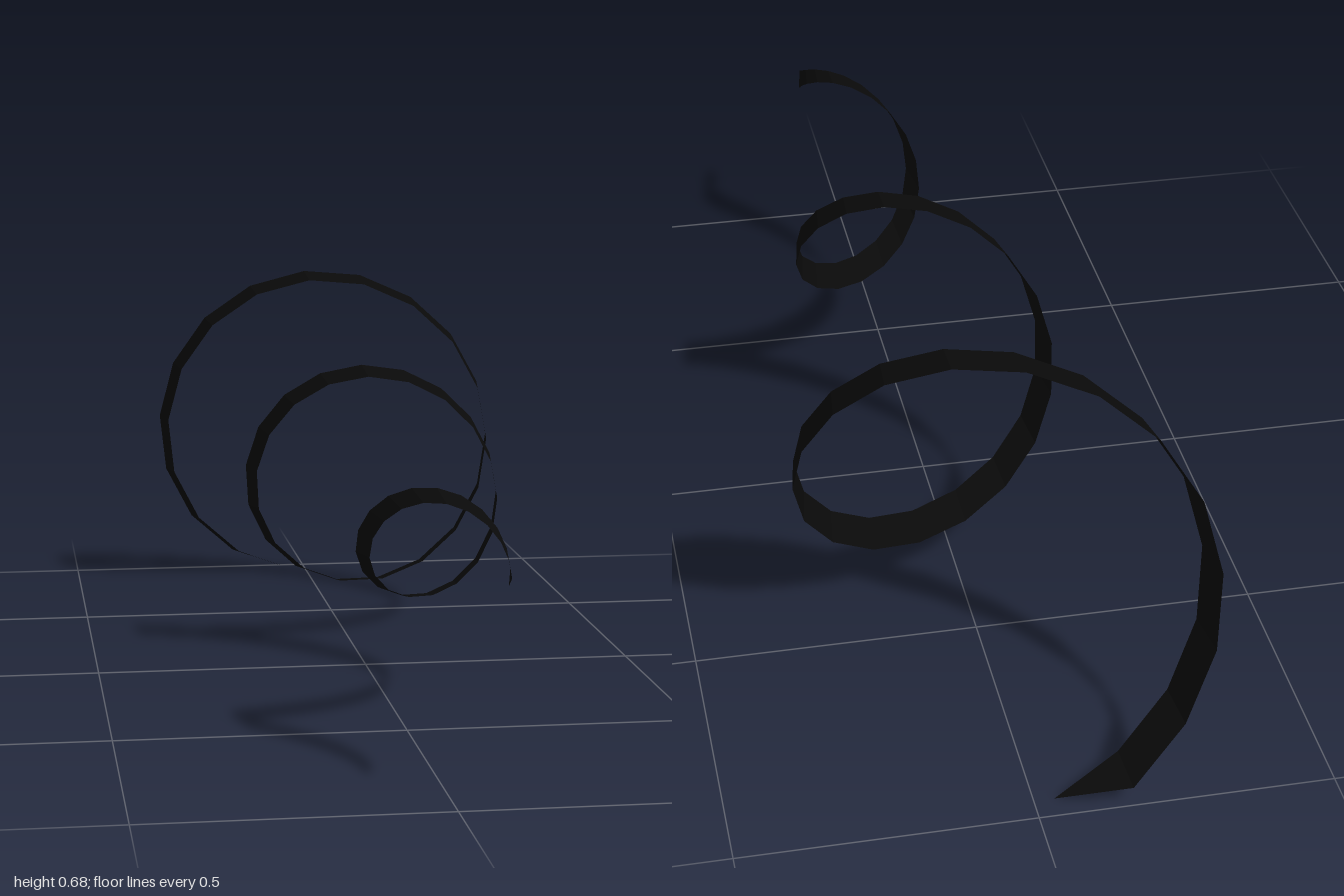
import * as THREE from 'three';

// Flat ribbon winding along a widening cone, twenty degrees per step
const STEPS = 49;
const STEP_ANGLE = Math.PI / 9;
const STEP_Z = 0.04;
const START_RADIUS = 0.051;
const RADIUS_STEP = 0.0064;
const CENTRE_X = 0.029;
const CENTRE_Y = 0.361;

// Point on the cone: turn sets the angle, depth sets both z and radius
function conePoint(turn, depth) {
  const r = START_RADIUS + RADIUS_STEP * depth;
  const a = turn * STEP_ANGLE;
  return [CENTRE_X + r * Math.cos(a), CENTRE_Y + r * Math.sin(a), 1 - STEP_Z * depth];
}

function ribbonGeometry() {
  const positions = [];
  const index = [];
  for (let i = 0; i <= STEPS; i++) {
    // Front edge, then rear edge, which trails by one step of angle
    positions.push(...conePoint(i, i), ...conePoint(i - 1, i + 1));
    if (i < STEPS) {
      const a = 2 * i, b = a + 1, nextA = a + 2, nextB = a + 3;
      index.push(a, nextB, b, a, nextA, nextB);
    }
  }
  const geometry = new THREE.BufferGeometry();
  geometry.setAttribute('position', new THREE.Float32BufferAttribute(positions, 3));
  geometry.setIndex(index);
  geometry.computeVertexNormals();
  return geometry;
}

export function createModel() {
  const black = new THREE.MeshStandardMaterial({
    name: 'black', color: 0x0a0a0a, side: THREE.DoubleSide, flatShading: true,
  });
  const ribbon = new THREE.Mesh(ribbonGeometry(), black);
  ribbon.name = 'spiralRibbon';

  const model = new THREE.Group();
  model.name = 'spiralStreamer';
  model.add(ribbon);
  return model;
}
